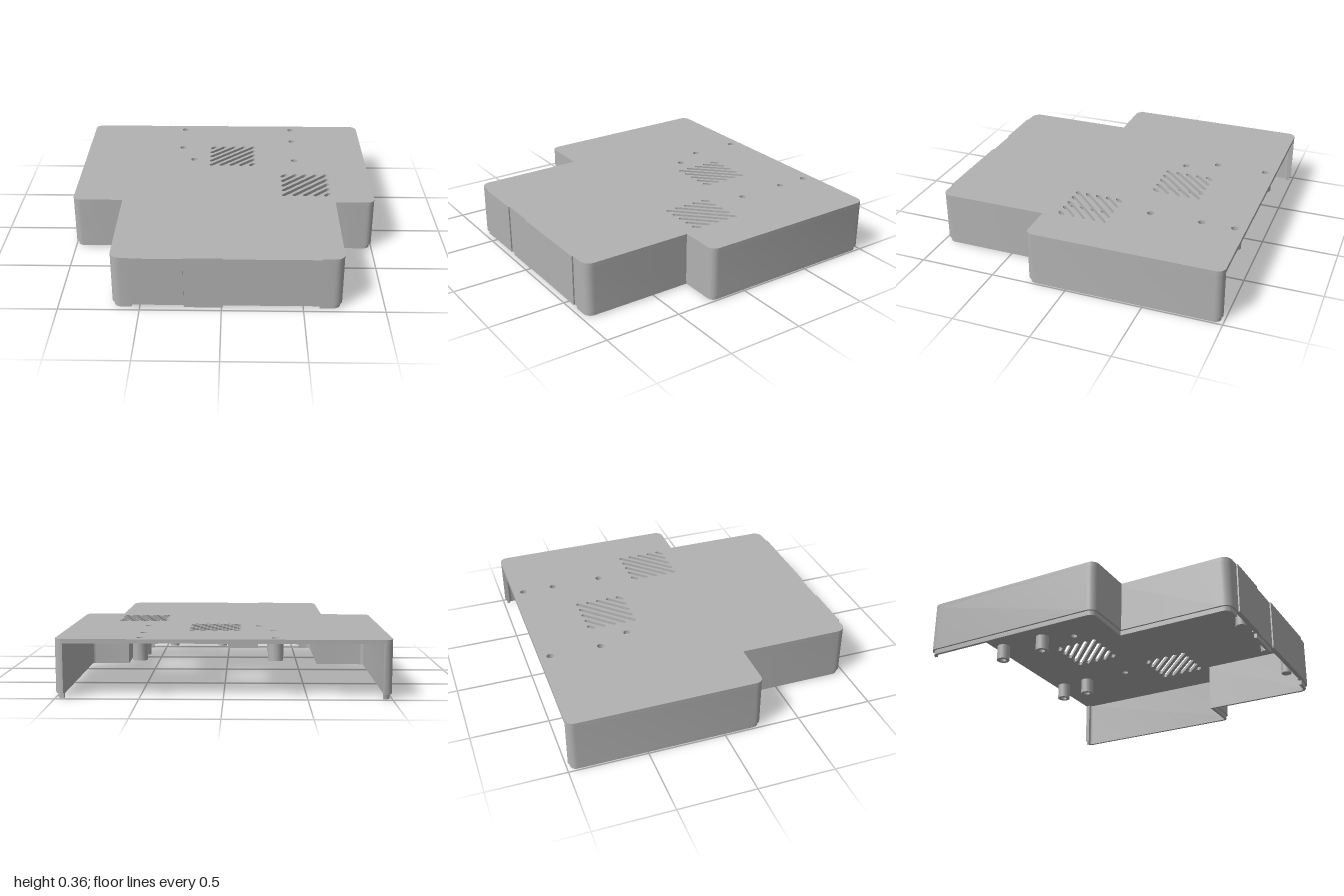
import * as THREE from 'three';
import { toCreasedNormals } from 'three/addons/utils/BufferGeometryUtils.js';

const TOP = 0.357, UNDER = 0.332, STEP = 0.03;
const V = (x, z) => new THREE.Vector2(x, -z); // plan point, z towards the front

// Quarter arc in plan, counterclockwise from a0 degrees
function corner(x, z, r, a0, n = 6) {
  return Array.from({ length: n + 1 }, (_, i) => {
    const a = THREE.MathUtils.degToRad(a0 + (90 * i) / n);
    return V(x + r * Math.cos(a), z - r * Math.sin(a));
  });
}

// Shift an open path to its inner side with mitred corners
function offset(pts, d) {
  const normal = (a, b) => {
    const t = b.clone().sub(a).normalize();
    return new THREE.Vector2(-t.y, t.x);
  };
  return pts.map((p, i) => {
    const n1 = normal(pts[Math.max(i - 1, 0)], pts[Math.max(i, 1)]);
    const last = pts.length - 1;
    const n2 = normal(pts[Math.min(i, last - 1)], pts[Math.min(i + 1, last)]);
    const k = d / (1 + n1.dot(n2));
    return p.clone().addScaledVector(n1.add(n2), k);
  });
}

// Wall strip between two offsets of a path
function band(pts, d0, d1) {
  return new THREE.Shape([...offset(pts, d0), ...offset(pts, d1).reverse()]);
}

// Raise a plan shape from y0 to y1
function raise(shape, y0, y1) {
  const g = new THREE.ExtrudeGeometry(shape, { depth: y1 - y0, bevelEnabled: false, curveSegments: 10 });
  g.rotateX(-Math.PI / 2).translate(0, y0, 0);
  return toCreasedNormals(g, 0.6);
}

function circle(x, z, r, Kind = THREE.Path) {
  return new Kind().absarc(x, -z, r, 0, Math.PI * 2, false);
}

// Diagonal round-ended slots clipped to a square
function ventSlots(cx, cz, half) {
  const r = 0.0135, h = half - r, slots = [];
  for (let k = -4; k <= 4; k++) {
    const c = k * 0.07;
    const xa = Math.max(-h, c - h), xb = Math.min(h, c + h);
    const a = V(cx + xa, cz + c - xa), b = V(cx + xb, cz + c - xb);
    const q = Math.PI / 4;
    slots.push(new THREE.Path()
      .absarc(b.x, b.y, r, -q, 3 * q, false)
      .absarc(a.x, a.y, r, 3 * q, 7 * q, false));
  }
  return slots;
}

export function createModel() {
  const model = new THREE.Group();
  model.name = 'enclosureCover';
  const grey = new THREE.MeshStandardMaterial({ color: 0xb2b2b2 });
  grey.name = 'plain grey';
  const add = (name, geometry) => {
    const mesh = new THREE.Mesh(geometry, grey);
    mesh.name = name;
    model.add(mesh);
  };

  // Outline pieces, from the rear on the -x side round the front to the +x side
  const front = 0.978, proud = 0.987;
  const rightSide = [
    ...corner(-0.95, -0.94, 0.05, 90), ...corner(-0.95, 0.195, 0.05, 180),
    V(-0.67, 0.245), ...corner(-0.61, front - 0.06, 0.06, 180), V(-0.55, front),
  ];
  const middle = [V(-0.23, front), V(0.01, front)];
  const leftSide = [
    V(0.6, front), ...corner(0.68, front - 0.06, 0.06, 270), V(0.74, 0.258),
    ...corner(0.95, 0.208, 0.05, 270), ...corner(0.95, -0.94, 0.05, 0),
  ];
  const outline = [
    ...rightSide, V(-0.55, proud), V(-0.23, proud),
    ...middle, V(0.01, proud), V(0.6, proud), ...leftSide,
  ];

  // Top plate with screw holes and two vents
  const standoffs = [[-0.31, -0.92], [-0.31, -0.59], [0.495, -0.92], [0.495, -0.71]];
  const plainHoles = [[-0.22, -0.388], [0.498, -0.377]];
  const plate = new THREE.Shape(outline);
  plate.holes.push(
    ...[...standoffs, ...plainHoles].map(([x, z]) => circle(x, z, 0.023)),
    ...ventSlots(0.057, -0.45, 0.165), ...ventSlots(0.555, 0.008, 0.165));
  add('topPlate', raise(plate, UNDER, TOP));

  // Side and front walls, open at the rear
  add('walls', raise(band(outline, 0, 0.03), STEP, UNDER));

  // Thin lip below the walls, interrupted at the two front openings
  add('lipRight', raise(band(rightSide, 0.012, 0.03), 0, STEP));
  add('lipMiddle', raise(band(middle, 0.012, 0.03), 0, STEP));
  add('lipLeft', raise(band(leftSide, 0.012, 0.03), 0, STEP));

  // Hollow standoffs under the screw holes
  for (const [x, z] of standoffs) {
    const ring = circle(x, z, 0.045, THREE.Shape);
    ring.holes.push(circle(x, z, 0.023));
    add('standoff', raise(ring, 0.225, UNDER));
  }

  // Long solid posts behind the front wall
  for (const x of [-0.37, 0.05, 0.43]) {
    add('post', raise(circle(x, 0.92, 0.034, THREE.Shape), 0.025, UNDER));
  }
  return model;
}
